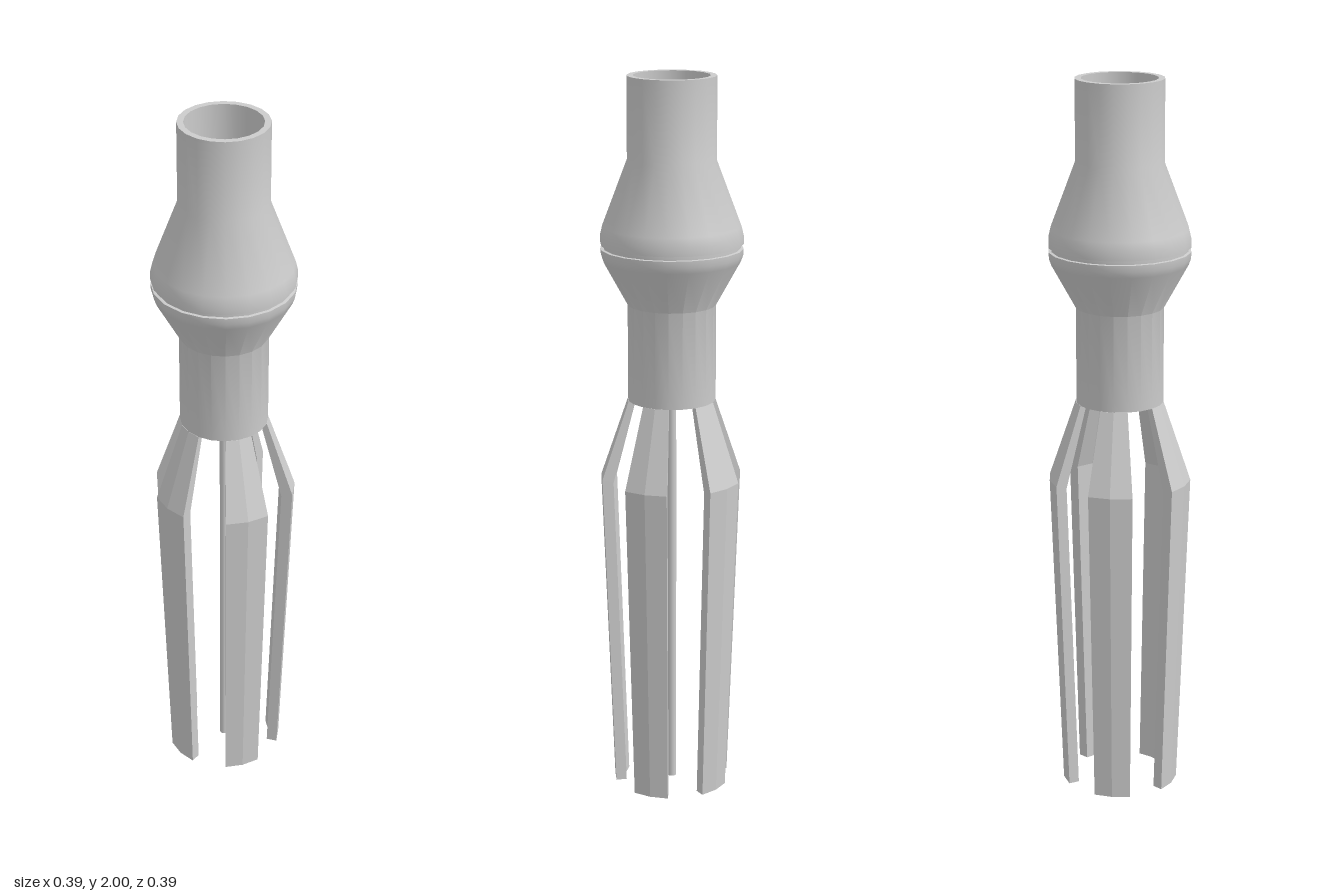
import * as THREE from 'three';
import { mergeGeometries, toCreasedNormals } from 'three/addons/utils/BufferGeometryUtils.js';

const SIDES = 20;
const FINGERS = 5;
const points = (list) => list.map(([r, y]) => new THREE.Vector2(r, y));

// Curved plate: a closed profile swept through an arc, with both ends capped
function sweptPlate(profile, arc) {
  const pts = points(profile);
  const wall = new THREE.LatheGeometry([...pts, pts[0]], 2, -arc / 2, arc).toNonIndexed();
  const caps = [-arc / 2, arc / 2].map((phi) =>
    new THREE.ShapeGeometry(new THREE.Shape(pts)).rotateY(phi - Math.PI / 2).toNonIndexed());
  return mergeGeometries([wall, ...caps]);
}

export function createModel() {
  const model = new THREE.Group();
  const smooth = new THREE.MeshStandardMaterial({ color: 0xcccccc });
  const faceted = new THREE.MeshStandardMaterial({
    color: 0xcccccc, flatShading: true, side: THREE.DoubleSide,
  });

  const add = (name, geometry, material) => {
    const mesh = new THREE.Mesh(geometry, material);
    mesh.name = name;
    mesh.position.z = -0.0015;
    model.add(mesh);
    return mesh;
  };

  // Hollow body with a grooved bulge
  const bodyProfile = points([
    [0.103, 1.12], [0.12, 1.12], [0.12, 1.385],
    [0.186, 1.505], [0.192, 1.522], [0.193, 1.54],
    [0.185, 1.541], [0.185, 1.551],
    [0.193, 1.552], [0.193, 1.575], [0.187, 1.6],
    [0.12, 1.777], [0.12, 2], [0.103, 2], [0.103, 1.12],
  ]);
  add('body', toCreasedNormals(new THREE.LatheGeometry(bodyProfile, SIDES), 0.5), smooth);

  // Ring of spreading fingers below the body
  const finger = sweptPlate([
    [0.133, 0], [0.163, 0], [0.196, 0.9], [0.121, 1.12], [0.103, 1.12], [0.165, 0.89],
  ], Math.PI / 5);
  for (let i = 0; i < FINGERS; i++) {
    add(`finger${i + 1}`, finger, faceted).rotation.y = (i * 2 * Math.PI) / FINGERS;
  }

  // Thin open tube along the axis
  const rod = new THREE.CylinderGeometry(0.012, 0.012, 1.2, 12, 1, true).translate(0, 0.6, 0);
  add('centreRod', rod, smooth);

  return model;
}
